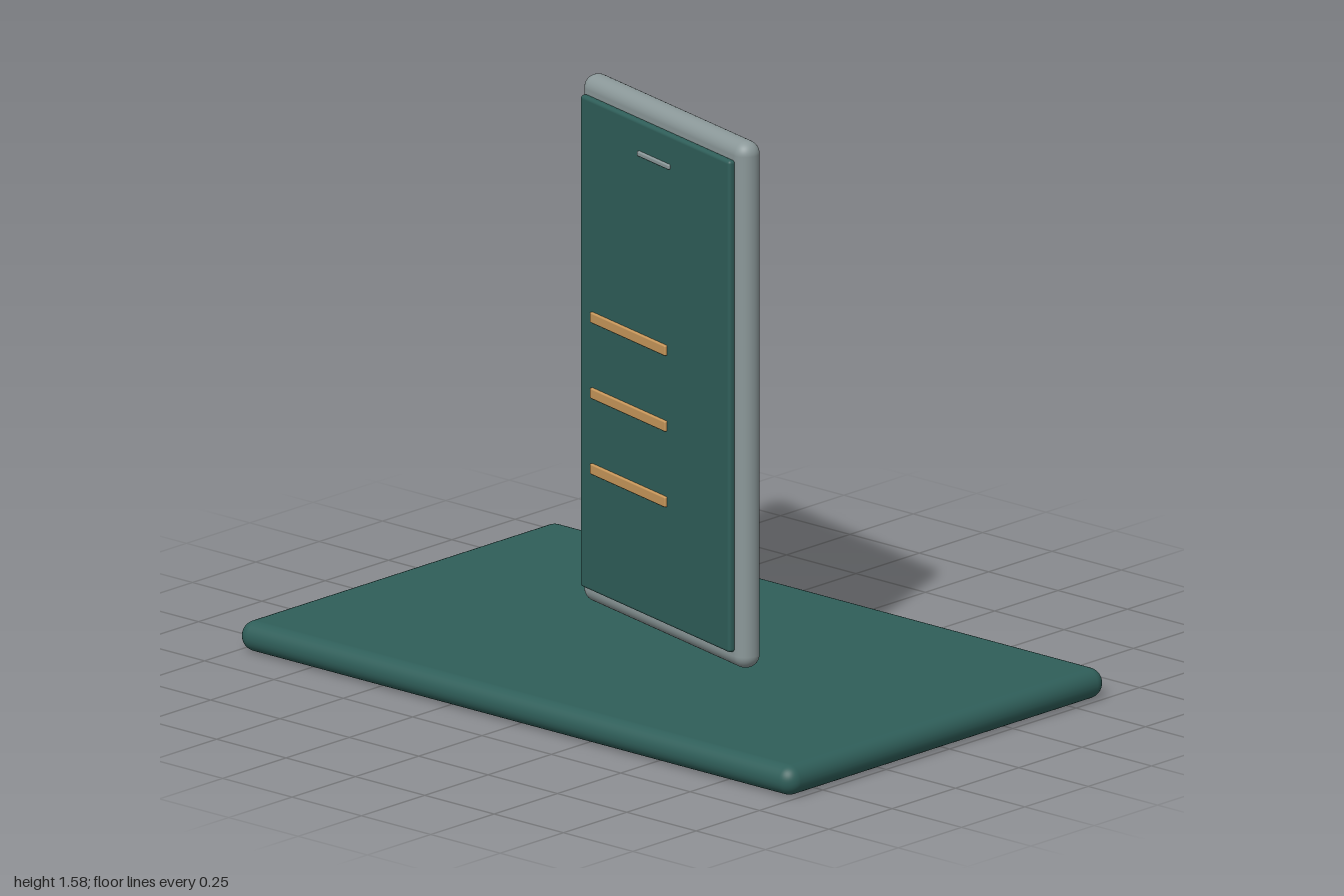
import * as THREE from 'three';
import { RoundedBoxGeometry } from 'three/addons/geometries/RoundedBoxGeometry.js';

export function createModel() {
  const material = (name, color) => {
    const m = new THREE.MeshStandardMaterial({ color });
    m.name = name;
    return m;
  };
  const teal = material('deep teal', 0x2f5e59);
  const grey = material('cool grey', 0x8b9899);
  const ochre = material('ochre', 0xc6965a);

  const model = new THREE.Group();
  model.name = 'phoneOnStand';

  // Adds a rounded box centred on (x, y, z)
  const addBox = (parent, name, mat, [w, h, d], radius, [x, y, z]) => {
    const mesh = new THREE.Mesh(new RoundedBoxGeometry(w, h, d, 5, radius), mat);
    mesh.name = name;
    mesh.position.set(x, y, z);
    parent.add(mesh);
  };

  // Flat base slab with fully rounded rim
  addBox(model, 'base', teal, [2, 0.084, 1.256], 0.0415, [0, 0.042, 0]);

  // Upright phone, turned slightly about the vertical axis
  const phone = new THREE.Group();
  phone.name = 'phone';
  phone.rotation.y = -0.25;
  model.add(phone);

  addBox(phone, 'phoneBody', grey, [0.788, 1.468, 0.075], 0.037, [0, 0.846, 0]);
  addBox(phone, 'screen', teal, [0.724, 1.37, 0.022], 0.009, [0, 0.846, 0.045]);
  addBox(phone, 'speakerSlot', grey, [0.154, 0.014, 0.012], 0.004, [0, 1.442, 0.057]);

  // Three text bars on the screen
  for (const y of [0.927, 0.716, 0.505]) {
    addBox(phone, 'screenBar', ochre, [0.366, 0.029, 0.014], 0.004, [-0.121, y, 0.057]);
  }

  return model;
}
